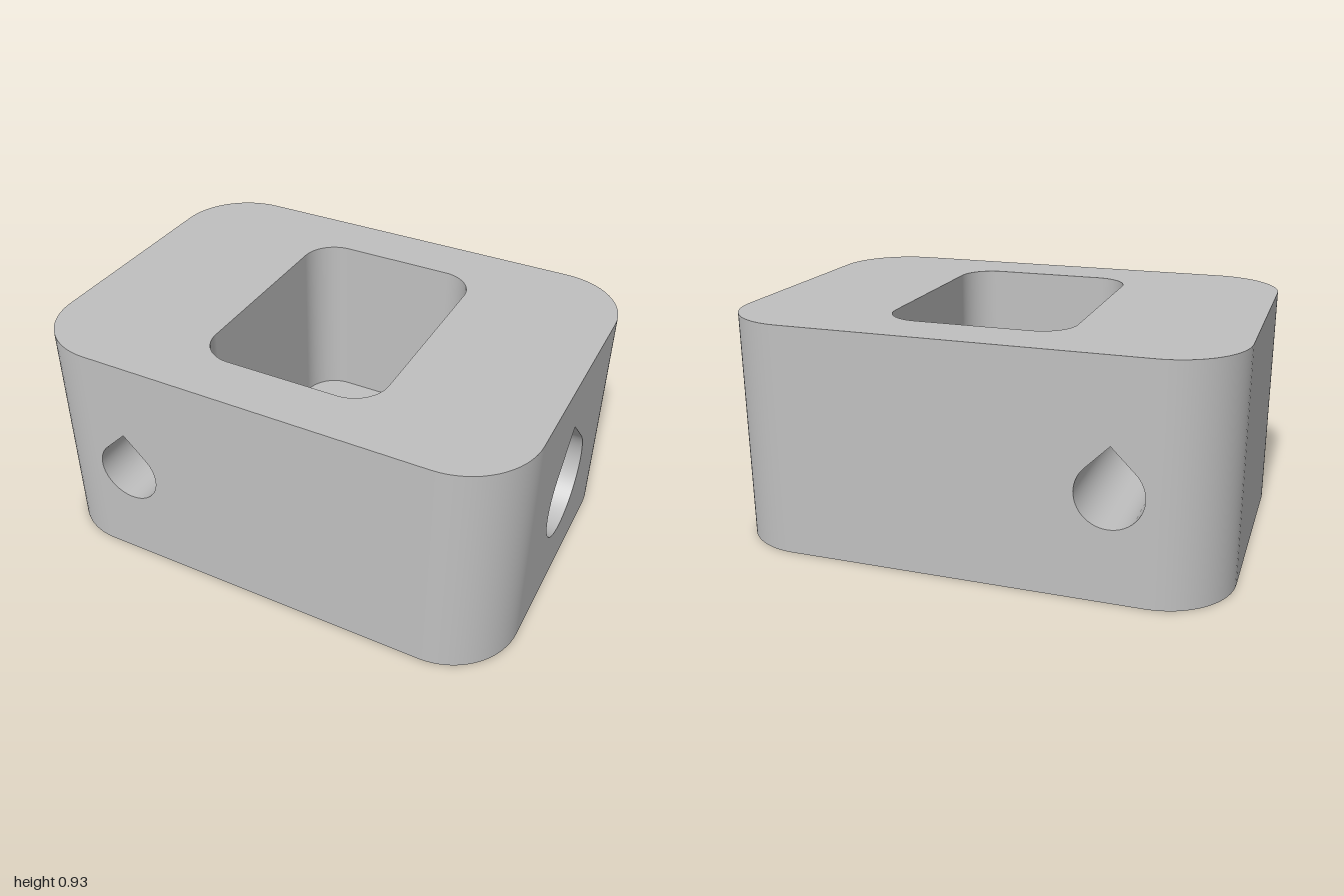
import * as THREE from 'three';

const W = 2, D = 1.44, H = 0.93, R = 0.29;                 // outer block
const PW = 0.74, PD = 0.995, PR = 0.14, PX = 0.02, FLOOR = 0.21; // pocket
const BORE_Y = 0.42, SMALL = { x: -0.57, r: 0.13 }, LARGE = { x: 0, r: 0.21 };

// Profile points are [x, y, normalX, normalY], counter-clockwise.
function arc(cx, cy, r, from, to, n) {
  return Array.from({ length: n + 1 }, (_, i) => {
    const a = from + (to - from) * i / n, c = Math.cos(a), s = Math.sin(a);
    return [cx + r * c, cy + r * s, c, s];
  });
}

const corner = (w, d, r, k) => arc(
  (k === 0 || k === 3 ? 1 : -1) * (w / 2 - r), (k < 2 ? 1 : -1) * (d / 2 - r),
  r, k * Math.PI / 2, (k + 1) * Math.PI / 2, 16);

const roundedRect = (w, d, r) => [0, 1, 2, 3].flatMap(k => corner(w, d, r, k));

// Circle with a 45 degree peak; the apex appears twice to stay sharp.
function teardrop(x, r) {
  const q = Math.SQRT1_2, apex = BORE_Y + r * Math.SQRT2;
  return [[x, apex, -q, q],
    ...arc(x, BORE_Y, r, Math.PI * 0.75, Math.PI * 2.25, 48), [x, apex, q, q]];
}

// Smooth wall swept along z from z0 to z1, facing out or in.
function sweep(profile, z0, z1, inward) {
  const pos = [], nor = [], idx = [], f = inward ? -1 : 1;
  profile.forEach(([x, y, nx, ny], i) => {
    pos.push(x, y, z0, x, y, z1);
    nor.push(f * nx, f * ny, 0, f * nx, f * ny, 0);
    if (!i) return;
    const a = 2 * i - 2, b = a + 1, c = a + 2, d = a + 3;
    idx.push(...(inward ? [a, d, c, a, b, d] : [a, c, d, a, d, b]));
  });
  const g = new THREE.BufferGeometry();
  g.setAttribute('position', new THREE.Float32BufferAttribute(pos, 3));
  g.setAttribute('normal', new THREE.Float32BufferAttribute(nor, 3));
  g.setIndex(idx);
  return g;
}

const points = profile => profile.map(([x, y]) => new THREE.Vector2(x, y));

function face(profile, hole) {
  const shape = new THREE.Shape(points(profile));
  if (hole) shape.holes.push(new THREE.Path(points(hole)));
  return new THREE.ShapeGeometry(shape);
}

export function createModel() {
  const model = new THREE.Group();
  const grey = new THREE.MeshStandardMaterial({ color: 0xc0c0c0 });
  const add = (name, geometry, parent = model) => {
    const mesh = new THREE.Mesh(geometry, grey);
    mesh.name = name;
    parent.add(mesh);
  };

  // Four flat panels and four rounded corners; holes follow front, left, back, right.
  function walls(name, w, d, r, y0, y1, inward, holes) {
    const group = new THREE.Group();
    group.name = name;
    for (let k = 0; k < 4; k++) {
      const half = (k % 2 ? d : w) / 2 - r, dist = (k % 2 ? w : d) / 2;
      const panel = face([[-half, y0], [half, y0], [half, y1], [-half, y1]], holes[k]);
      if (inward) panel.rotateY(Math.PI);
      panel.translate(0, 0, dist).rotateY(k * Math.PI / 2);
      add('flatWall', panel, group);
      add('roundedCorner', sweep(corner(w, d, r, k), y0, y1, inward).rotateX(-Math.PI / 2), group);
    }
    model.add(group);
    return group;
  }

  const small = teardrop(SMALL.x, SMALL.r), large = teardrop(LARGE.x, LARGE.r);

  // Block sides and pocket sides
  walls('blockSides', W, D, R, 0, H, false, [small, large, teardrop(-SMALL.x, SMALL.r), null]);
  walls('pocketSides', PW, PD, PR, FLOOR, H, true, [null, large, null, null]).position.x = PX;

  // Horizontal faces
  const block = roundedRect(W, D, R), pocket = roundedRect(PW, PD, PR);
  const pocketAtX = pocket.map(([x, y]) => [x + PX, y]);
  add('topFace', face(block, pocketAtX).rotateX(-Math.PI / 2).translate(0, H, 0));
  add('bottomFace', face(block).rotateX(Math.PI / 2));
  add('pocketFloor', face(pocketAtX).rotateX(-Math.PI / 2).translate(0, FLOOR, 0));

  // Teardrop bores: one right through front to back, one from the left side into the pocket
  add('smallBore', sweep(small, -D / 2, D / 2, true));
  add('largeBore', sweep(large, PX + PW / 2, W / 2, true).rotateY(Math.PI / 2));

  return model;
}
